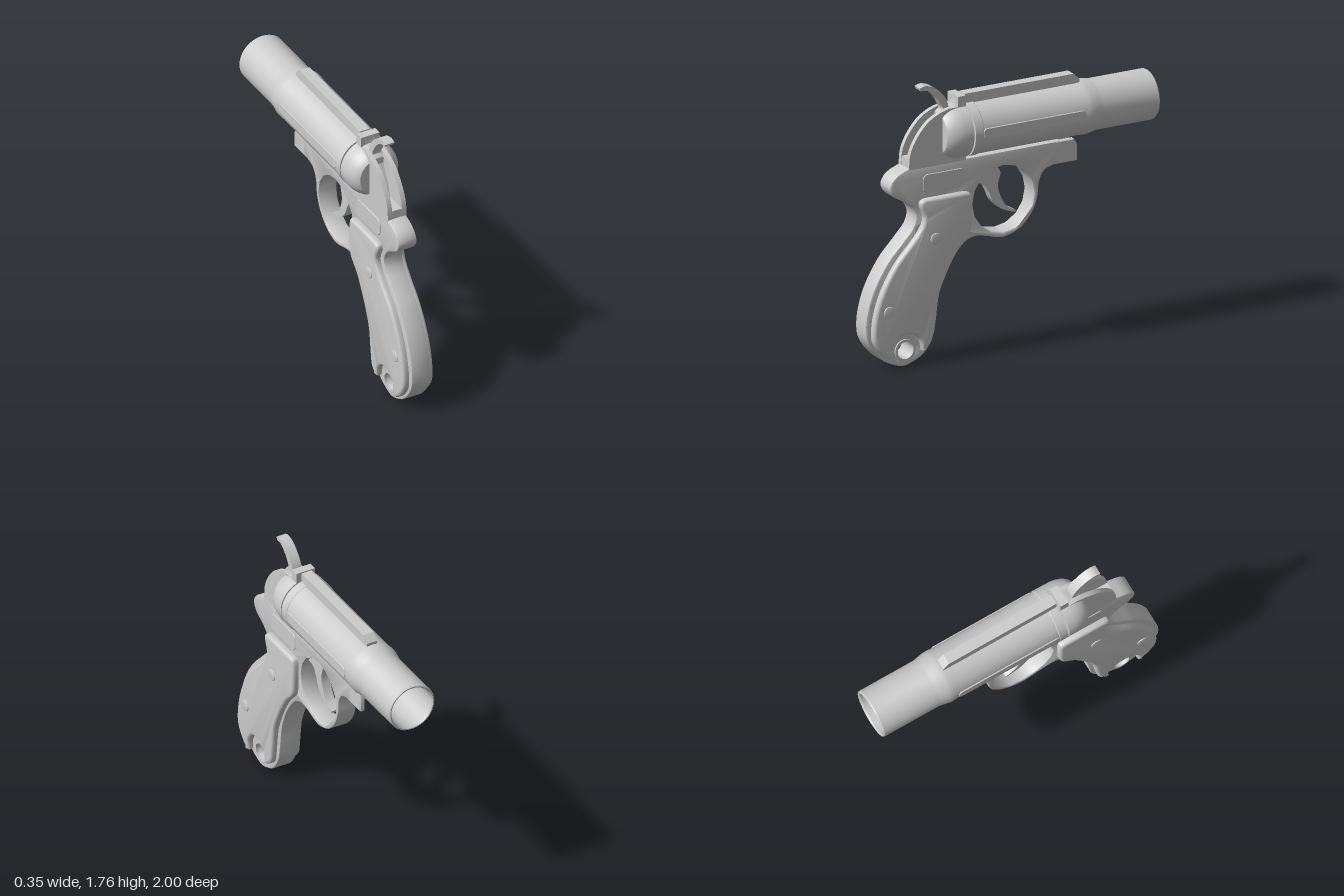
import * as THREE from 'three';
import { toCreasedNormals } from 'three/addons/utils/BufferGeometryUtils.js';

const AXIS_Y = 1.44; // barrel axis height
const material = new THREE.MeshStandardMaterial({ color: 0xcccccc, roughness: 0.6 });

// Side profile in (z, y): two-point runs are straight, longer runs are splines
function profile(...runs) {
  const shape = new THREE.Shape();
  shape.moveTo(...runs[0][0]);
  for (const run of runs) {
    const pts = run.map(([z, y]) => new THREE.Vector2(z, y));
    const last = shape.currentPoint;
    if (last.distanceTo(pts[0]) > 1e-6) shape.lineTo(pts[0].x, pts[0].y);
    if (pts.length > 2) shape.splineThru(pts.slice(1));
    else if (pts.length === 2) shape.lineTo(pts[1].x, pts[1].y);
  }
  return shape;
}

function polygon(points) {
  return new THREE.Shape(points.map(([z, y]) => new THREE.Vector2(z, y)));
}

function disc(z, y, r, Type = THREE.Shape) {
  const c = new Type();
  c.absarc(z, y, r, 0, Math.PI * 2, false);
  return c;
}

function roundedRect(z0, z1, y0, y1, r) {
  const s = new THREE.Shape();
  s.absarc(z1 - r, y0 + r, r, -Math.PI / 2, 0);
  s.absarc(z1 - r, y1 - r, r, 0, Math.PI / 2);
  s.absarc(z0 + r, y1 - r, r, Math.PI / 2, Math.PI);
  s.absarc(z0 + r, y0 + r, r, Math.PI, Math.PI * 1.5);
  return s;
}

function mesh(name, geometry, crease = 0.6) {
  const m = new THREE.Mesh(toCreasedNormals(geometry, crease), material);
  m.name = name;
  return m;
}

// Extrude a side profile across the width from x0 to x1
function plate(name, shape, x0, x1, bevel = 0, segments = 1, curveSegments = 5) {
  const g = new THREE.ExtrudeGeometry(shape, {
    depth: x1 - x0 - 2 * bevel, bevelEnabled: bevel > 0, bevelSize: bevel,
    bevelThickness: bevel, bevelOffset: -bevel, bevelSegments: segments, curveSegments,
  });
  g.rotateY(-Math.PI / 2);
  g.translate(x1 - bevel, 0, 0);
  return mesh(name, g);
}

// Revolve an (r, z) profile about the barrel axis
function turned(name, points) {
  const g = new THREE.LatheGeometry(points.map(([r, z]) => new THREE.Vector2(r, z)), 64);
  g.rotateX(Math.PI / 2);
  g.translate(0, AXIS_Y, 0);
  return mesh(name, g, 0.45);
}

export function createModel() {
  const model = new THREE.Group();
  model.name = 'flarePistol';
  const pair = (name, shape, x0, x1, ...rest) => {
    model.add(plate(name + 'Left', shape, x0, x1, ...rest));
    model.add(plate(name + 'Right', shape, -x1, -x0, ...rest));
  };

  // Frame: handle, rear hump, front arm and trigger guard
  const frame = profile(
    [[0.70, 1.265], [0.77, 1.237], [0.815, 1.20], [0.832, 1.15], [0.80, 1.095], [0.73, 1.055],
      [0.675, 1.01], [0.65, 0.95], [0.67, 0.88], [0.74, 0.80], [0.85, 0.68], [0.94, 0.53],
      [0.99, 0.38], [1.0, 0.25], [0.97, 0.16], [0.88, 0.06], [0.76, 0.005], [0.68, 0.015],
      [0.59, 0.065], [0.53, 0.16], [0.51, 0.26], [0.485, 0.43], [0.42, 0.59], [0.33, 0.71],
      [0.25, 0.75], [0.16, 0.74], [0.09, 0.72], [0.02, 0.716], [-0.08, 0.755], [-0.16, 0.84],
      [-0.197, 0.93], [-0.21, 1.03], [-0.245, 1.095], [-0.31, 1.12]],
    [[-0.31, 1.12], [-0.36, 1.12]],
    [[-0.36, 1.12], [-0.36, 1.265]],
  );
  frame.holes.push(disc(0.04, 0.96, 0.215, THREE.Path), disc(0.73, 0.105, 0.055, THREE.Path));
  model.add(plate('frame', frame, -0.065, 0.065, 0.01, 2, 8));

  // Forked hinge at the front of the arm, with the barrel lug between
  pair('hingeCheek', polygon([[-0.32, 1.12], [-0.475, 1.12], [-0.475, 1.225], [-0.45, 1.265], [-0.32, 1.265]]),
    0.03, 0.065, 0.006);
  model.add(plate('barrelLug', polygon([[-0.30, 1.15], [-0.41, 1.15], [-0.44, 1.19], [-0.44, 1.30], [-0.30, 1.30]]),
    -0.022, 0.022));
  model.add(plate('hingePin', disc(-0.41, 1.19, 0.03), -0.05, 0.05));

  // Upper frame cheeks either side of the hammer slot
  const cheek = profile(
    [[0.36, 1.22], [0.70, 1.22]],
    [[0.70, 1.22], [0.70, 1.28]],
    [[0.70, 1.28], [0.69, 1.36], [0.65, 1.445], [0.58, 1.53], [0.50, 1.58], [0.42, 1.605]],
    [[0.42, 1.605], [0.36, 1.605]],
    [[0.36, 1.67], [0.305, 1.67]],
    [[0.305, 1.67], [0.305, 1.22]],
  );
  pair('upperFrameCheek', cheek, 0.034, 0.065);
  model.add(plate('slotFloor', polygon([[0.305, 1.22], [0.70, 1.22], [0.695, 1.32], [0.47, 1.32],
    [0.44, 1.45], [0.39, 1.55], [0.36, 1.605], [0.36, 1.67], [0.305, 1.67]]), -0.034, 0.034));

  // Hammer with curled spur
  const hammer = profile(
    [[0.56, 1.30], [0.52, 1.42], [0.47, 1.52], [0.445, 1.59], [0.46, 1.63], [0.495, 1.685], [0.55, 1.73], [0.60, 1.737]],
    [[0.60, 1.737], [0.607, 1.755]],
    [[0.607, 1.755], [0.57, 1.765], [0.51, 1.747], [0.45, 1.695], [0.415, 1.64], [0.40, 1.57]],
    [[0.40, 1.57], [0.40, 1.30]],
  );
  model.add(plate('hammer', hammer, -0.032, 0.032));

  // Breech block and hollow barrel
  model.add(turned('breech', [[0, 0.305], [0.174, 0.305], [0.174, 0.36], [0.169, 0.395],
    [0.157, 0.43], [0.141, 0.457], [0.128, 0.468], [0, 0.468]]));
  model.add(turned('barrel', [[0, 0.15], [0.14, 0.15], [0.14, -0.99], [0.146, -1], [0.153, -1],
    [0.159, -0.992], [0.159, -0.61], [0.163, -0.585], [0.173, -0.535], [0.173, -0.5],
    [0.17, -0.485], [0.17, 0.235], [0.175, 0.24], [0.175, 0.295], [0, 0.295]]));
  pair('barrelSidePanel', roundedRect(-0.475, 0.24, 1.405, 1.475, 0.025), 0.14, 0.174, 0.003);

  // Sighting rib along the top of the barrel
  model.add(plate('topRib', polygon([[0.295, 1.57], [0.295, 1.67], [-0.465, 1.67], [-0.507, 1.63], [-0.507, 1.57]]),
    -0.035, 0.035));

  // Trigger
  const trigger = profile(
    [[0.25, 1.06], [0.20, 1.075], [0.155, 1.06], [0.125, 1.01], [0.095, 0.945], [0.035, 0.885], [-0.06, 0.848]],
    [[-0.06, 0.848], [-0.062, 0.862]],
    [[-0.062, 0.862], [0.0, 0.90], [0.04, 0.965], [0.06, 1.04], [0.04, 1.12]],
    [[0.04, 1.12], [0.08, 1.19]],
    [[0.08, 1.19], [0.25, 1.19]],
  );
  model.add(plate('trigger', trigger, -0.03, 0.03));

  // Grip panels, cut away around the lanyard eye
  const grip = profile(
    [[0.60, 1.06], [0.32, 1.06]],
    [[0.32, 1.06], [0.29, 1.05], [0.28, 1.02]],
    [[0.28, 1.02], [0.28, 0.84]],
    [[0.28, 0.84], [0.30, 0.78], [0.38, 0.69], [0.46, 0.55], [0.52, 0.40], [0.54, 0.26], [0.56, 0.14], [0.62, 0.09]],
    [[0.62, 0.09], [0.64, 0.165], [0.69, 0.207], [0.75, 0.213], [0.80, 0.188], [0.835, 0.13], [0.835, 0.065]],
    [[0.835, 0.065], [0.89, 0.095], [0.95, 0.17], [0.967, 0.25], [0.95, 0.38], [0.90, 0.52], [0.81, 0.67],
      [0.70, 0.79], [0.635, 0.87], [0.61, 0.94], [0.632, 1.01], [0.63, 1.045], [0.60, 1.06]],
  );
  pair('gripPanel', grip, 0.045, 0.106, 0.02, 4);
  for (const [z, y] of [[0.535, 0.80], [0.86, 0.38]]) {
    pair('gripScrew', disc(z, y, 0.038), 0.08, 0.112, 0.006, 2, 16);
  }

  // Lanyard eye and side plates
  const eye = disc(0.73, 0.105, 0.072);
  eye.holes.push(disc(0.73, 0.105, 0.055, THREE.Path));
  pair('lanyardEye', eye, 0.05, 0.075, 0, 1, 20);
  pair('sidePlate', roundedRect(0.315, 0.605, 1.09, 1.21, 0.035), 0.05, 0.07, 0.003);

  return model;
}
